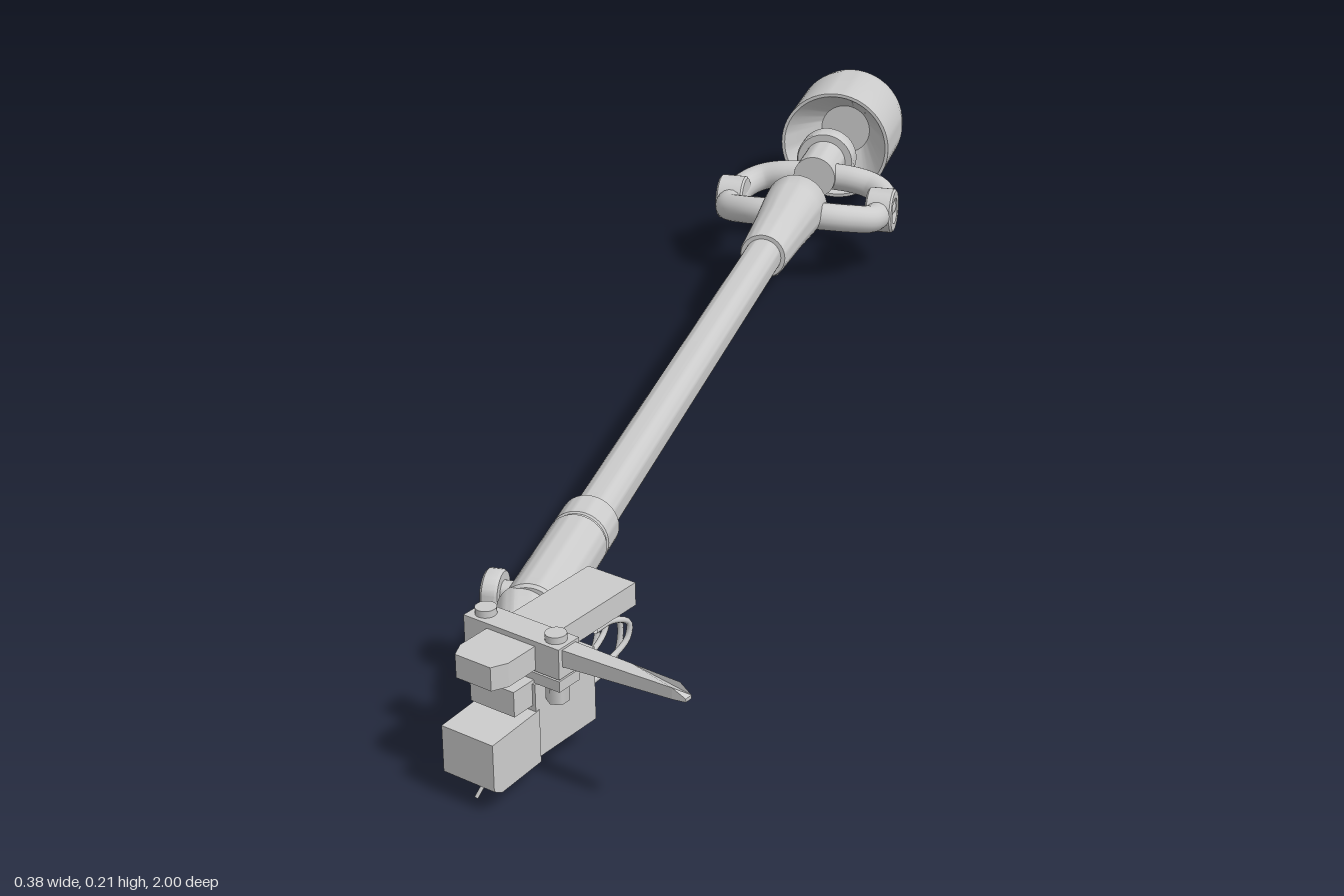
import * as THREE from 'three';
import { toCreasedNormals } from 'three/addons/utils/BufferGeometryUtils.js';

const mat = new THREE.MeshStandardMaterial({ color: 0xcccccc, side: THREE.DoubleSide });
const AX = -0.05, AY = 0.122; // arm axis

function add(parent, name, geo, x = 0, y = 0, z = 0) {
  const m = new THREE.Mesh(geo, mat);
  m.name = name;
  m.position.set(x, y, z);
  parent.add(m);
  return m;
}

// revolve [radius, position] pairs about the z axis
function turned(pts, seg = 40) {
  const g = new THREE.LatheGeometry(pts.map(([r, z]) => new THREE.Vector2(r, z)), seg);
  g.rotateX(Math.PI / 2);
  return toCreasedNormals(g, 0.6);
}

function tube(pts, r, seg = 32, closed = false, sides = 14) {
  const curve = new THREE.CatmullRomCurve3(pts.map(p => new THREE.Vector3(...p)), closed, 'centripetal');
  return new THREE.TubeGeometry(curve, seg, r, sides, closed);
}

const box = (w, h, d) => new THREE.BoxGeometry(w, h, d);
const cyl = (r, h, seg = 20) => new THREE.CylinderGeometry(r, r, h, seg);

// outline in x/z, extruded upwards from y = 0
function slab(outline, h, holes = []) {
  const s = new THREE.Shape(outline.map(([x, z]) => new THREE.Vector2(x, -z)));
  for (const [x, z, r] of holes) s.holes.push(new THREE.Path().absarc(x, -z, r, 0, Math.PI * 2, true));
  return new THREE.ExtrudeGeometry(s, { depth: h, bevelEnabled: false }).rotateX(-Math.PI / 2);
}

function buildArm(g) {
  // counterweight: conical recess in front, stepped bore at the back
  add(g, 'counterweight', turned([
    [0, -0.90], [0.04, -0.90], [0.083, -0.815], [0.088, -0.815], [0.088, -0.935], [0.084, -0.958],
    [0.066, -0.997], [0.060, -1], [0.042, -1], [0.038, -0.988], [0.026, -0.988], [0.022, -0.97], [0, -0.97],
  ], 56), AX, AY, 0);

  add(g, 'rearStub', turned([
    [0, -0.77], [0.044, -0.77], [0.046, -0.767], [0.046, -0.743], [0.044, -0.74],
    [0.033, -0.74], [0.033, -0.662], [0, -0.662],
  ]), AX, AY, 0);

  // rounded yoke around the pivot
  const side = s => [[0.05, 0.115, -0.688], [0.09, 0.107, -0.684], [0.112, 0.1, -0.66],
    [0.116, 0.097, -0.61], [0.112, 0.1, -0.562], [0.085, 0.107, -0.538], [0.045, 0.113, -0.522]]
    .map(([x, y, z]) => [AX + s * x, y, z]);
  add(g, 'yoke', tube([...side(1), ...side(-1).reverse()], 0.021, 120, true, 18));

  for (const s of [-1, 1]) {
    const boss = add(g, 'pivotBoss', turned([
      [0, -0.012], [0.02, -0.012], [0.02, 0.021], [0.031, 0.021], [0.034, 0.018],
      [0.034, -0.018], [0.031, -0.021], [0, -0.021],
    ], 32), AX + s * 0.118, 0.097, -0.612);
    boss.rotation.y = s * Math.PI / 2;
    const pin = add(g, 'pivotScrew', cyl(0.009, 0.02, 16), AX + s * 0.122, 0.097, -0.612);
    pin.rotation.z = Math.PI / 2;
  }

  // flared rear socket, long tube and front sleeve
  add(g, 'rearSocket', turned([
    [0, -0.545], [0.044, -0.545], [0.048, -0.538], [0.046, -0.5], [0.040, -0.42], [0.035, -0.322],
    [0.033, -0.318], [0, -0.318],
  ]), AX, AY, 0);
  add(g, 'socketScrew', cyl(0.008, 0.03, 12), AX, 0.083, -0.385);
  add(g, 'armTube', turned([[0.027, -0.33], [0.027, 0.56]]), AX, AY, 0);
  add(g, 'frontSleeve', turned([
    [0, 0.55], [0.033, 0.55], [0.036, 0.553], [0.036, 0.596], [0.034, 0.598], [0.034, 0.602],
    [0.036, 0.604], [0.036, 0.776], [0.033, 0.78], [0, 0.78],
  ]), AX, AY, 0);

  // side locking knob
  const knob = add(g, 'lockingKnob', turned([
    [0, -0.03], [0.014, -0.03], [0.014, 0], [0.024, 0], [0.026, 0.003], [0.026, 0.018], [0.023, 0.021], [0, 0.021],
  ], 24), -0.096, 0.12, 0.735);
  knob.rotation.y = -Math.PI / 2;
}

function buildHead(g) {
  const head = new THREE.Group();
  head.name = 'headshell';
  head.position.set(-0.02, 0, 0.9);
  head.rotation.y = -0.38;
  g.add(head);

  // main plate, clamped between crossbars by two screws
  add(head, 'headPlate', slab([[-0.033, -0.155], [0.033, -0.155], [0.033, 0.06], [0.024, 0.078], [-0.024, 0.078], [-0.033, 0.06]], 0.028), 0, 0.143, 0);
  const bar = [[-0.065, -0.017], [0.065, -0.017], [0.065, 0.017], [-0.065, 0.017]];
  add(head, 'upperCrossbar', slab(bar, 0.036), 0, 0.141, 0);
  add(head, 'lowerCrossbar', slab(bar, 0.013), 0, 0.126, 0);
  for (const s of [-1, 1]) {
    add(head, 'mountScrewHead', cyl(0.012, 0.012), s * 0.048, 0.179, 0);
    add(head, 'mountScrewShank', cyl(0.007, 0.075, 12), s * 0.048, 0.145, 0);
    add(head, 'mountNut', cyl(0.013, 0.018, 6), s * 0.048, 0.113, 0);
  }

  // cartridge body, stylus block and needle
  add(head, 'cartridgeBody', box(0.068, 0.09, 0.1), 0, 0.081, -0.03);
  add(head, 'cartridgeTop', box(0.06, 0.03, 0.06), 0, 0.115, 0.02);
  const profile = [[0.015, 0.03], [0.08, 0.025], [0.092, 0.032], [0.092, 0.088], [0.015, 0.094]];
  const shape = new THREE.Shape(profile.map(([z, y]) => new THREE.Vector2(-z, y)));
  add(head, 'stylusBlock', new THREE.ExtrudeGeometry(shape, { depth: 0.07, bevelEnabled: false })
    .rotateY(Math.PI / 2).translate(-0.035, 0, 0));
  add(head, 'needle', tube([[0.005, 0.032, 0.045], [0, 0.018, 0.066], [-0.005, 0.002, 0.076]], 0.0022, 10, false, 8));
  add(head, 'needleMount', box(0.022, 0.012, 0.025), 0.004, 0.03, 0.045);

  // contact pins and looping wires
  for (let i = 0; i < 4; i++) {
    const x = -0.019 + 0.026 * (i % 2) + 0.012 * Math.floor(i / 2);
    const y = i < 2 ? 0.06 : 0.082;
    add(head, 'contactPin', cyl(0.005, 0.025, 10), x, y, -0.09).rotation.x = Math.PI / 2;
    add(head, 'leadWire', tube([[x, y, -0.08], [x, y + 0.002, -0.125], [x * 1.2, y + 0.018, -0.152],
      [x * 1.2, 0.118, -0.155], [x, 0.13, -0.13], [x, 0.131, -0.1]], 0.0035, 28, false, 8));
  }

  // tapering finger lift with an upturned end
  const lift = slab([[0.04, -0.012], [0.14, -0.009], [0.205, -0.007], [0.221, -0.005], [0.221, 0.005],
    [0.205, 0.007], [0.14, 0.009], [0.04, 0.012]], 1);
  const p = lift.attributes.position;
  for (let i = 0; i < p.count; i++) {
    const x = p.getX(i), t = (x - 0.04) / 0.181;
    const top = x > 0.21 ? 0.167 : 0.176 - 0.002 * (1 - t);
    p.setY(i, p.getY(i) > 0.5 ? top : THREE.MathUtils.lerp(0.153, 0.163, t));
  }
  lift.computeVertexNormals();
  add(head, 'fingerLift', lift);

  // angled collar joining the sleeve to the plate
  const collar = add(g, 'headCollar', turned([
    [0, -0.035], [0.031, -0.035], [0.031, 0.02], [0.026, 0.035], [0, 0.035],
  ]), -0.05, 0.122, 0.803);
  collar.rotation.y = 0.3;
  add(g, 'collarBracket', box(0.07, 0.04, 0.035), -0.02, 0.13, 0.825).rotation.y = -0.38;
}

export function createModel() {
  const g = new THREE.Group();
  g.name = 'tonearm';
  buildArm(g);
  buildHead(g);
  return g;
}
